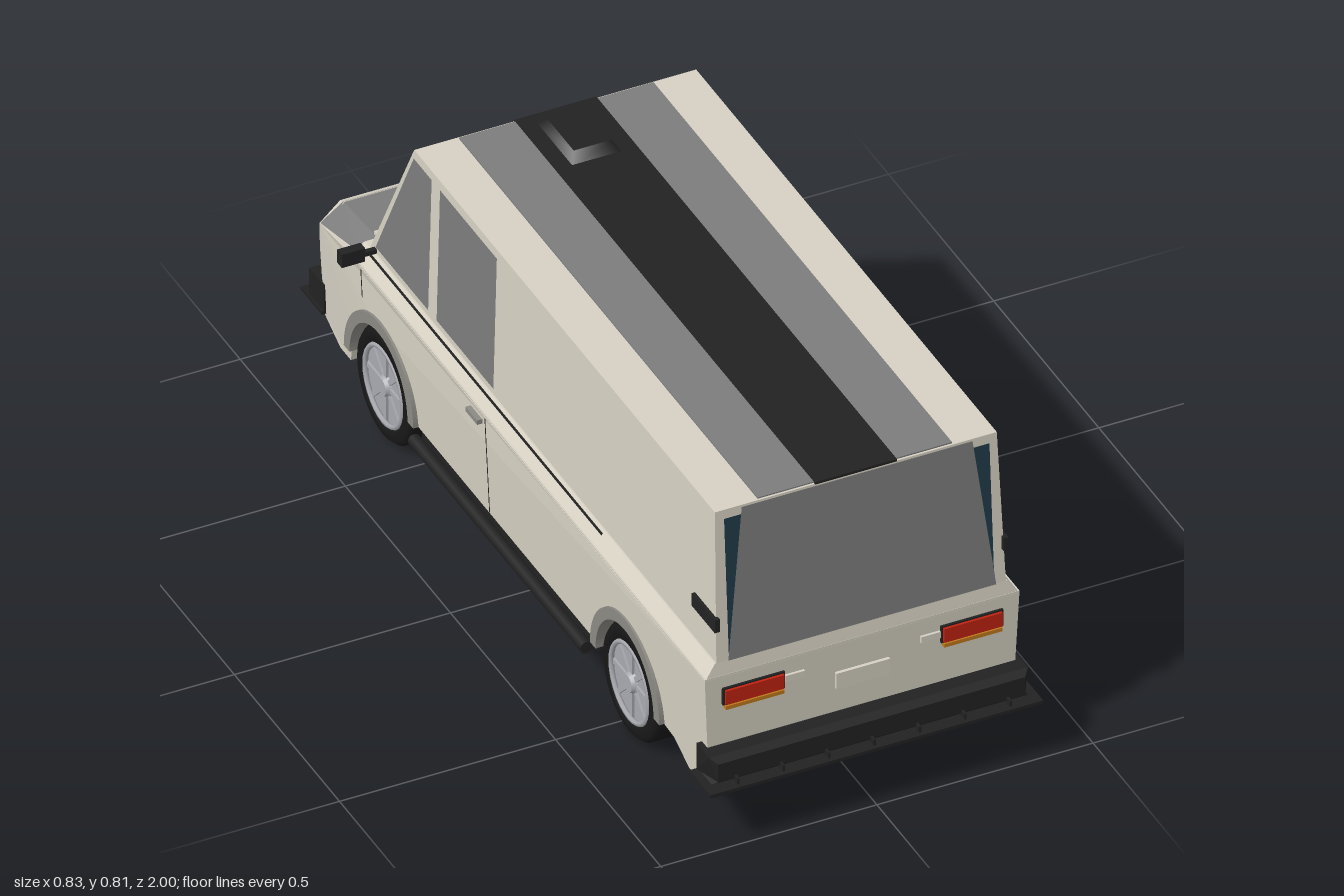
import * as THREE from 'three';

const mat = (name, color) => { const m = new THREE.MeshStandardMaterial({ color }); m.name = name; return m; };

export function createModel() {
  const van = new THREE.Group();
  van.name = 'van';
  const cream = mat('cream paint', 0xd6d1c3), grey = mat('grey panel', 0x7c7c7c), navy = mat('navy glass', 0x213a48);
  const black = mat('black trim', 0x222222), rubber = mat('tyre rubber', 0x181818), silver = mat('silver rim', 0xa9aab0);
  const red = mat('red lamp', 0xc22210), amber = mat('amber lamp', 0xc07a1c), trim = mat('arch grey', 0x8c8a84);
  const lamp = mat('lamp glass', 0xe2e0d8);

  const add = (name, geo, m, parent = van) => {
    const mesh = new THREE.Mesh(geo, m);
    mesh.name = name;
    parent.add(mesh);
    return mesh;
  };
  const box = (name, m, w, h, d, x, y, z) => {
    const b = add(name, new THREE.BoxGeometry(w, h, d), m);
    b.position.set(x, y, z);
    return b;
  };
  // Flat face from corners listed counter-clockwise as seen from outside
  const face = (name, m, pts) => {
    const g = new THREE.BufferGeometry();
    g.setAttribute('position', new THREE.Float32BufferAttribute(pts.flat(), 3));
    const idx = [];
    for (let i = 1; i < pts.length - 1; i++) idx.push(0, i, i + 1);
    g.setIndex(idx);
    g.computeVertexNormals();
    return add(name, g, m);
  };
  const sideFace = (name, m, pts, s) => {
    const p = pts.map(([x, y, z]) => [x * s, y, z]);
    return face(name, m, s > 0 ? p : p.reverse());
  };
  // Side profile in (z, y) swept across the width, with half width given by a rule
  const sweep = (name, m, shape, halfWidth) => {
    const g = new THREE.ExtrudeGeometry(shape, { depth: 2, bevelEnabled: false, curveSegments: 20 });
    g.translate(0, 0, -1).rotateY(-Math.PI / 2);
    const p = g.attributes.position;
    for (let i = 0; i < p.count; i++) p.setX(i, Math.sign(p.getX(i)) * halfWidth(p.getY(i), p.getZ(i)));
    g.computeVertexNormals();
    return add(name, g, m);
  };
  const poly = pts => new THREE.Shape(pts.map(([z, y]) => new THREE.Vector2(z, y)));

  const axles = [0.55, -0.62], wheelY = 0.133;
  const lowerX = y => 0.352 + (y - 0.12) * 0.045;
  const upperX = y => 0.335 - (y - 0.42) * 0.024;
  const tailZ = y => 0.925 - (y - 0.42) * 0.068;
  const screenZ = y => -0.72 + (y - 0.42) * 0.514;

  // Lower body with wheel arches
  const lower = new THREE.Shape();
  lower.moveTo(0.93, 0.39);
  lower.lineTo(0.925, 0.17);
  lower.quadraticCurveTo(0.91, 0.11, 0.83, 0.095);
  lower.lineTo(0.76, 0.13);
  lower.lineTo(axles[0] + 0.15, 0.135);
  lower.absarc(axles[0], 0.135, 0.15, 0, Math.PI, false);
  lower.lineTo(axles[1] + 0.15, 0.135);
  lower.absarc(axles[1], 0.135, 0.15, 0, Math.PI, false);
  lower.lineTo(-0.78, 0.095);
  lower.lineTo(-0.83, 0.095);
  lower.lineTo(-0.91, 0.13);
  lower.lineTo(-0.935, 0.29);
  lower.lineTo(-0.915, 0.36);
  lower.lineTo(-0.74, 0.39);
  sweep('lowerBody', cream, lower, (y, z) => lowerX(y) - Math.max(0, -z - 0.9) * 0.35);

  // Sloped shoulder along the belt line
  const shoulder = poly([[0.93, 0.385], [0.925, 0.422], [-0.74, 0.422], [-0.76, 0.385]]);
  sweep('shoulder', cream, shoulder, y => (y > 0.4 ? 0.338 : 0.364));

  // Upper cargo body
  sweep('upperBody', cream, poly([[tailZ(0.42), 0.42], [tailZ(0.79), 0.79], [screenZ(0.79), 0.79], [screenZ(0.42), 0.42]]), upperX);

  // Bonnet: crowned grey panel, cream centre ridge and vents
  sweep('bonnet', grey, poly([[-0.72, 0.38], [-0.72, 0.425], [-0.9, 0.412], [-0.917, 0.36], [-0.9, 0.355]]),
    y => (y > 0.4 ? 0.31 : 0.355));
  sweep('noseLip', cream, poly([[-0.895, 0.36], [-0.895, 0.414], [-0.915, 0.405], [-0.93, 0.35], [-0.93, 0.33]]),
    y => (y > 0.38 ? 0.31 : 0.35));
  sweep('bonnetRidge', cream, poly([[-0.76, 0.4], [-0.76, 0.432], [-0.92, 0.426], [-0.93, 0.39]]), () => 0.058);
  box('cowl', cream, 0.62, 0.012, 0.04, 0, 0.424, -0.735);

  // Roof panels, stripe and vent
  for (const s of [-1, 1]) box('roofPanel', grey, 0.13, 0.004, 1.42, s * 0.16, 0.791, 0.185);
  box('roofStripe', black, 0.19, 0.006, 1.43, 0, 0.791, 0.185);
  const vent = add('roofVent', new THREE.CylinderGeometry(0.062, 0.083, 0.024, 4, 1).rotateY(Math.PI / 4), black);
  vent.scale.z = 1.45;
  vent.position.set(0, 0.803, -0.415);

  // Rear window and windscreen: navy glass under a tapered grey panel
  const endPanel = (name, zAt, dir) => {
    const quad = (m, y0, y1, x0, x1, off) => {
      const p = [[-x0, y0], [x0, y0], [x1, y1], [-x1, y1]].map(([x, y]) => [x, y, zAt(y) + dir * off]);
      face(name, m, dir > 0 ? p : p.reverse());
    };
    quad(navy, 0.425, 0.77, 0.307, 0.307, 0.003);
    quad(grey, 0.424, 0.789, 0.31, 0.267, 0.006);
  };
  endPanel('rearWindow', tailZ, 1);
  endPanel('windscreen', screenZ, -1);

  // Side details
  for (const s of [-1, 1]) {
    const glass = s > 0 ? navy : grey;
    const pane = (name, pts) => sideFace(name, glass, pts.map(([z, y]) => [upperX(y) + 0.003, y, z]), s);
    pane('doorWindow', [[-0.13, 0.44], [-0.4, 0.44], [-0.4, 0.772], [-0.13, 0.772]]);
    pane('quarterWindow', [[-0.44, 0.44], [-0.69, 0.44], [-0.525, 0.772], [-0.44, 0.772]]);
    box('beltLine', black, 0.004, 0.004, 1.12, s * 0.344, 0.414, -0.16);
    for (const z of [-0.11, -0.7]) {
      const y0 = z < -0.5 ? 0.31 : 0.14;
      sideFace('doorSeam', black, [[lowerX(y0) + 0.002, y0, z], [lowerX(y0) + 0.002, y0, z - 0.004],
        [lowerX(0.385) + 0.002, 0.385, z - 0.004], [lowerX(0.385) + 0.002, 0.385, z]], s);
    }
    box('doorHandle', trim, 0.012, 0.011, 0.055, s * 0.368, 0.363, -0.16);
    box('sideMarker', black, 0.012, 0.032, 0.11, s * 0.334, 0.518, 0.873);

    // Mirror on its arm
    box('mirrorArm', black, 0.06, 0.01, 0.012, s * 0.345, 0.428, -0.695);
    box('mirror', black, 0.054, 0.034, 0.022, s * 0.389, 0.428, -0.7);

    // Side pipe under the sill
    const pipe = add('sidePipe', new THREE.CylinderGeometry(0.015, 0.015, 0.82, 10).rotateX(Math.PI / 2), black);
    pipe.position.set(s * 0.365, 0.11, -0.04);

    // Rear lamps
    box('tailLampFrame', black, 0.144, 0.042, 0.014, s * 0.2525, 0.337, 0.928);
    box('tailLamp', red, 0.135, 0.035, 0.026, s * 0.2525, 0.337, 0.928);
    box('rearIndicator', amber, 0.135, 0.009, 0.024, s * 0.2525, 0.311, 0.928);
    box('rearHandle', cream, 0.045, 0.016, 0.014, s * 0.157, 0.338, 0.928);

    // Headlamps and bonnet vents
    box('headlamp', lamp, 0.13, 0.042, 0.03, s * 0.26, 0.322, -0.925);
    box('frontIndicator', amber, 0.12, 0.022, 0.026, s * 0.26, 0.278, -0.925);
    box('bonnetVent', black, 0.035, 0.014, 0.045, s * 0.076, 0.423, -0.78);

    // Wheels and arch trims
    for (const z of axles) {
      const wheel = new THREE.Group();
      wheel.name = 'wheel';
      wheel.position.set(s * 0.31, wheelY, z);
      van.add(wheel);
      const tyre = [[0.09, -0.045], [0.122, -0.045], [0.132, -0.033], [0.132, 0.033], [0.122, 0.045], [0.097, 0.045], [0.092, 0.03]];
      const turn = -s * Math.PI / 2;
      add('tyre', new THREE.LatheGeometry(tyre.map(p => new THREE.Vector2(...p)), 32).rotateZ(turn), rubber, wheel);
      add('rim', new THREE.CylinderGeometry(0.094, 0.094, 0.07, 28).rotateZ(turn), silver, wheel);
      add('rimLip', new THREE.TorusGeometry(0.09, 0.006, 6, 28).rotateY(Math.PI / 2), silver, wheel).position.x = s * 0.042;
      add('hub', new THREE.CylinderGeometry(0.02, 0.028, 0.016, 16).rotateZ(turn), silver, wheel).position.x = s * 0.04;
      for (let i = 0; i < 4; i++) {
        const spoke = add('spoke', new THREE.BoxGeometry(0.008, 0.18, 0.012), silver, wheel);
        spoke.position.x = s * 0.036;
        spoke.rotation.x = i * Math.PI / 4;
      }
      const arch = new THREE.Shape();
      arch.absarc(0, 0, 0.165, 0, Math.PI, false);
      arch.absarc(0, 0, 0.138, Math.PI, 0, true);
      const archGeo = new THREE.ExtrudeGeometry(arch, { depth: 0.04, bevelEnabled: false, curveSegments: 20 });
      archGeo.translate(0, 0, -0.02).rotateY(-Math.PI / 2);
      add('archTrim', archGeo, trim).position.set(s * 0.345, 0.135, z);
    }
  }

  // Tail: number plate, bumper, step and valance
  box('rearPlate', cream, 0.124, 0.04, 0.014, 0, 0.295, 0.929);
  sweep('rearBumper', black, poly([[0.975, 0.155], [0.975, 0.2], [0.96, 0.212], [0.9, 0.212], [0.9, 0.145], [0.965, 0.145]].reverse()),
    (y, z) => (z > 0.97 ? 0.355 : 0.369));
  box('rearStep', black, 0.77, 0.008, 0.1, 0, 0.143, 0.95);
  box('rearValance', black, 0.68, 0.035, 0.08, 0, 0.108, 0.88);
  box('rearValanceLine', trim, 0.68, 0.006, 0.006, 0, 0.122, 0.922);
  for (const x of [-0.315, -0.21, -0.105, 0, 0.105, 0.21, 0.315]) box('stepRib', black, 0.005, 0.02, 0.03, x, 0.152, 0.975);

  // Nose: grille bars, bumper, splitter and number plate
  box('grille', black, 0.31, 0.055, 0.02, 0, 0.31, -0.929);
  for (let i = 0; i < 4; i++) box('grilleBar', trim, 0.3, 0.003, 0.006, 0, 0.29 + i * 0.013, -0.938);
  for (let i = -7; i <= 7; i++) box('grilleSlat', trim, 0.003, 0.05, 0.006, i * 0.02, 0.31, -0.938);
  box('frontBumper', black, 0.71, 0.066, 0.07, 0, 0.177, -0.935);
  box('splitter', black, 0.72, 0.008, 0.1, 0, 0.14, -0.95);
  box('frontPlate', lamp, 0.13, 0.042, 0.008, 0, 0.18, -0.973);

  // Underbody, also closing the wheel wells
  box('underbody', black, 0.48, 0.23, 1.72, 0, 0.215, 0.0);
  box('floor', black, 0.69, 0.03, 0.84, 0, 0.118, -0.035);
  box('noseFloor', black, 0.66, 0.03, 0.1, 0, 0.105, -0.83);
  return van;
}
